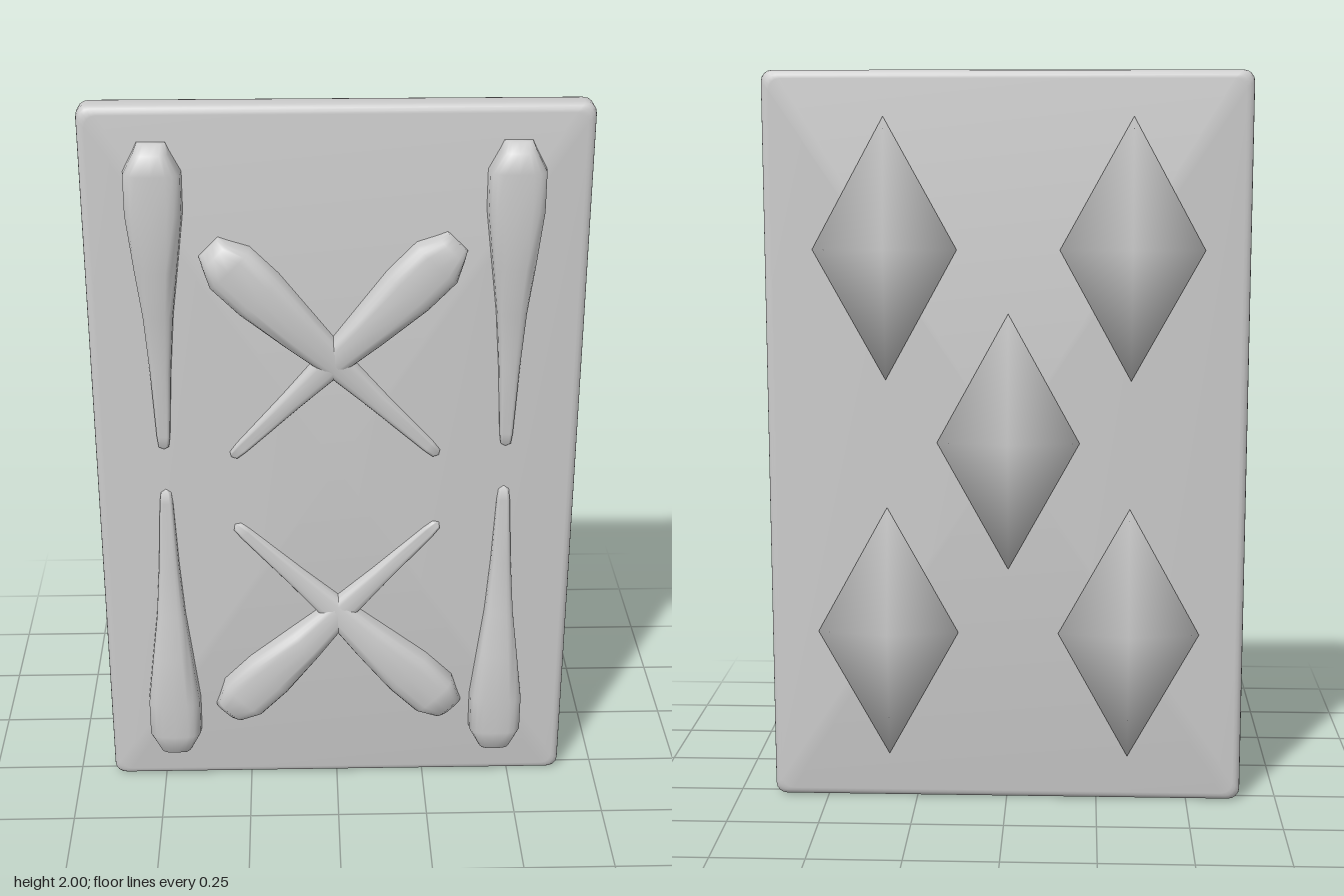
import * as THREE from 'three';
import { toCreasedNormals } from 'three/addons/utils/BufferGeometryUtils.js';

const material = new THREE.MeshStandardMaterial({ color: 0xcccccc });
const FRONT = 0.043;

// Skin a list of closed rings; counter-clockwise rings stacked along +z face outward
function loft(rings, crease) {
  const n = rings[0].length, index = [];
  for (let i = 0; i < rings.length - 1; i++) {
    for (let j = 0; j < n; j++) {
      const k = (j + 1) % n;
      const a = i * n + j, b = i * n + k, c = a + n, d = b + n;
      index.push(a, b, d, a, d, c);
    }
  }
  const geometry = new THREE.BufferGeometry().setFromPoints(rings.flat());
  geometry.setIndex(index);
  return toCreasedNormals(geometry, crease);
}

function add(parent, name, geometry) {
  const mesh = new THREE.Mesh(geometry, material);
  mesh.name = name;
  parent.add(mesh);
  return mesh;
}

// Rounded rectangle of the slab, pulled in by an inset
function slabRing(inset, z) {
  const r = 0.03, w = 0.65 - inset, h = 1 - inset, points = [];
  for (let q = 0; q < 4; q++) {
    const sx = q === 0 || q === 3 ? 1 : -1, sy = q < 2 ? 1 : -1;
    for (let s = 0; s <= 4; s++) {
      const a = (q + s / 4) * Math.PI / 2;
      points.push(new THREE.Vector3(
        sx * (w - r) + r * Math.cos(a), 1 + sy * (h - r) + r * Math.sin(a), z));
    }
  }
  return points;
}

// Slab with rounded edges; the end rings shrink to the centre to close both faces
function slabGeometry() {
  const bevel = 0.022, rings = [];
  const centre = z => slabRing(0, z).map(() => new THREE.Vector3(0, 1, z));
  for (const side of [-1, 1]) {
    for (let s = 0; s <= 4; s++) {
      const a = (side < 0 ? s : 4 - s) / 4 * Math.PI / 2;
      rings.push(slabRing(bevel * (1 - Math.sin(a)), side * (FRONT - bevel + bevel * Math.cos(a))));
    }
  }
  return loft([centre(-FRONT), ...rings, centre(FRONT)], 0.9);
}

// Closed, smooth-shaded diamond pyramid with its point towards the back
function pyramidGeometry() {
  const ring = (scale, z) => [[0.193, 0], [0, 0.35], [-0.193, 0], [0, -0.35]]
    .map(([x, y]) => new THREE.Vector3(x * scale, y * scale, z));
  return loft([ring(0, -0.1), ring(1, -0.054), ring(0, -0.054)], Math.PI);
}

// Club stations: [distance from head, half width, height]
const CLUB = [
  [0, 0, 0], [0, 0.036, 0.02], [0.022, 0.046, 0.052], [0.075, 0.074, 0.056], [0.18, 0.074, 0.057],
  [0.33, 0.056, 0.055], [0.46, 0.04, 0.034], [0.62, 0.028, 0.024], [0.81, 0.018, 0.012],
  [0.84, 0.014, 0.01], [0.85, 0, 0],
];

function clubGeometry() {
  const segments = 10;
  return loft(CLUB.map(([t, w, h]) => {
    const ring = [];
    for (let s = 0; s <= segments; s++) {
      const a = s / segments * Math.PI, c = Math.cos(a);
      ring.push(new THREE.Vector3(
        w * Math.sign(c) * Math.abs(c) ** 0.6, -t, h * Math.max(0, Math.sin(a)) ** 0.55));
    }
    return ring;
  }), 1.1);
}

export function createModel() {
  const model = new THREE.Group();
  model.name = 'panel';

  add(model, 'slab', slabGeometry());

  // Five pyramids floating just off the back
  const pyramid = pyramidGeometry();
  for (const [x, y] of [[0.325, 1.53], [-0.335, 1.53], [-0.005, 1.01], [0.325, 0.48], [-0.335, 0.48]]) {
    add(model, 'backPyramid', pyramid).position.set(x, y, 0);
  }

  // Clubs on the front: head x, y then tip x, y
  const clubShape = clubGeometry();
  const clubs = [
    [-0.465, 1.91, -0.465, 1.06], [0.455, 1.91, 0.455, 1.06],
    [-0.465, 0.09, -0.465, 0.94], [0.455, 0.09, 0.455, 0.94],
    [-0.33, 1.635, 0.275, 1.035], [0.31, 1.645, -0.285, 1.035],
    [-0.32, 0.225, 0.28, 0.83], [0.33, 0.23, -0.28, 0.83],
  ];
  for (const [hx, hy, tx, ty] of clubs) {
    const club = add(model, 'club', clubShape);
    club.position.set(hx, hy, FRONT);
    club.rotation.z = Math.atan2(tx - hx, hy - ty);
    club.scale.y = Math.hypot(tx - hx, ty - hy) / 0.85;
  }
  return model;
}
